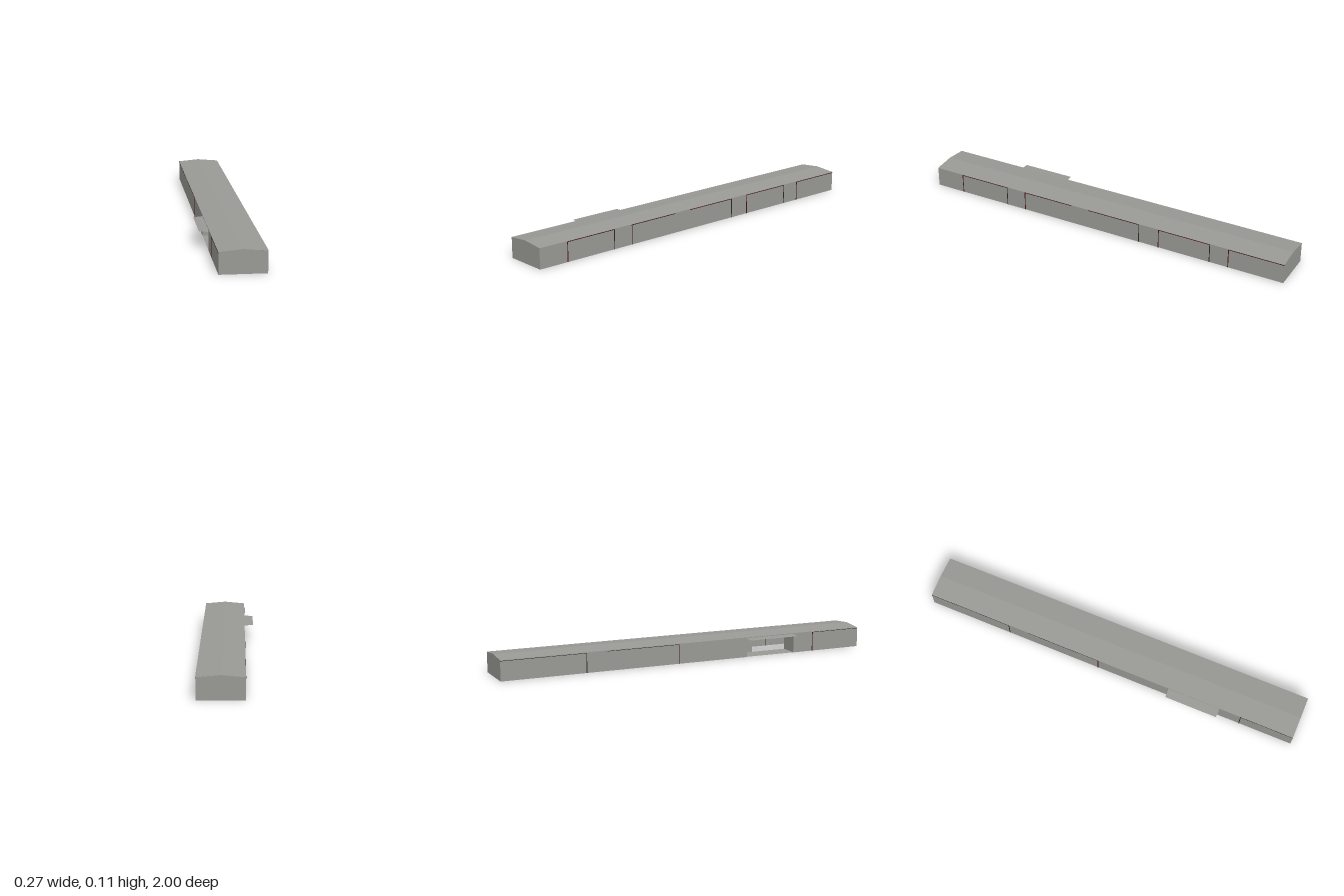
import * as THREE from 'three';

const L = -0.09, R = 0.132, EAVE = 0.104, RIDGE = 0.114, MID = 0.02;
const DOOR0 = 0.33, DOOR1 = 0.605, HEAD = 0.092, BACK = 0.01;

export function createModel() {
  const model = new THREE.Group();
  model.name = 'longBuilding';
  const mat = (name, color) => {
    const m = new THREE.MeshStandardMaterial({ color, side: THREE.DoubleSide });
    m.name = name;
    return m;
  };
  const grey = mat('concreteGrey', 0x999995);
  const red = mat('darkRedTrim', 0x4a1414);
  const dark = mat('darkJoint', 0x2a2a2a);

  const add = (name, geo, material) => {
    const mesh = new THREE.Mesh(geo, material);
    mesh.name = name;
    model.add(mesh);
    return mesh;
  };
  // Flat panel through four corners, counter-clockwise from its front
  const quad = (name, a, b, c, d, material = grey) => {
    const g = new THREE.BufferGeometry();
    g.setAttribute('position', new THREE.Float32BufferAttribute([a, b, c, a, c, d].flat(), 3));
    g.computeVertexNormals();
    return add(name, g, material);
  };
  // Upright panels facing +x or -x, and facing +z or -z
  const sideWall = (name, x, z0, z1, y0, y1, s) => s > 0
    ? quad(name, [x, y0, z1], [x, y0, z0], [x, y1, z0], [x, y1, z1])
    : quad(name, [x, y0, z0], [x, y0, z1], [x, y1, z1], [x, y1, z0]);
  const crossWall = (name, z, x0, x1, y0, y1, s) => s > 0
    ? quad(name, [x0, y0, z], [x1, y0, z], [x1, y1, z], [x0, y1, z])
    : quad(name, [x1, y0, z], [x0, y0, z], [x0, y1, z], [x1, y1, z]);

  // Long walls, the right one open at the entrance
  sideWall('leftWall', R, -1, 1, 0, EAVE, 1);
  sideWall('rightWallBack', L, -1, DOOR0, 0, EAVE, -1);
  sideWall('rightWallFront', L, DOOR1, 1, 0, EAVE, -1);
  sideWall('entranceHeader', L, DOOR0, DOOR1, HEAD, EAVE, -1);

  // Gabled end walls
  const gable = new THREE.Shape([[L, 0], [R, 0], [R, EAVE], [MID, RIDGE], [L, EAVE]]
    .map(([x, y]) => new THREE.Vector2(x, y)));
  add('frontGable', new THREE.ShapeGeometry(gable), grey).position.z = 1;
  const back = new THREE.ShapeGeometry(gable).scale(-1, 1, 1);
  back.index.array.reverse();
  back.rotateY(Math.PI);
  back.index.array.reverse();
  back.computeVertexNormals();
  // Winding corrected so the rear face looks outward
  const pos = back.attributes.position;
  const idx = back.index.array;
  const [p, q, r] = [0, 1, 2].map(i => new THREE.Vector3().fromBufferAttribute(pos, idx[i]));
  if (q.sub(p).cross(r.sub(p)).z > 0) idx.reverse();
  back.computeVertexNormals();
  add('backGable', back, grey).position.z = -1;

  // Two shallow roof slopes
  quad('roofRight', [L, EAVE, 1], [MID, RIDGE, 1], [MID, RIDGE, -1], [L, EAVE, -1]);
  quad('roofLeft', [MID, RIDGE, 1], [R + 0.002, EAVE, 1], [R + 0.002, EAVE, -1], [MID, RIDGE, -1]);

  // Entrance recess: floor, side walls and a partial back wall
  quad('recessFloor', [L, 0.001, DOOR1], [BACK, 0.001, DOOR1], [BACK, 0.001, DOOR0], [L, 0.001, DOOR0]);
  crossWall('recessSideBack', DOOR0, L, BACK, 0, EAVE, 1);
  crossWall('recessSideFront', DOOR1, L, BACK, 0, EAVE, -1);
  sideWall('recessBackWall', BACK, DOOR0, 0.41, 0, EAVE, -1);

  // Canopy made of two thin plates meeting at the outer edge
  const tip = -0.136, ty = 0.096;
  quad('canopyTop', [tip, ty, DOOR1], [L, 0.1, DOOR1], [L, 0.1, DOOR0], [tip, ty, DOOR0]);
  quad('canopyUnderside', [tip, ty, DOOR0], [L, HEAD, DOOR0], [L, HEAD, DOOR1], [tip, ty, DOOR1]);

  // Panel joints on the long walls
  const strip = (name, x, y, z, h, d, m) =>
    add(name, new THREE.BoxGeometry(0.001, h, d), m).position.set(x, y, z);
  const joints = (name, x, zs) => zs.forEach((z, i) =>
    strip(name, x, 0.05, z, 0.1, 0.004, i % 2 ? dark : red));
  joints('leftJoint', R + 0.0005, [0.84, 0.56, 0.45, -0.22, -0.33, -0.61, -0.71]);
  joints('rightJoint', L - 0.0005, [-0.06, -0.56, 0.72]);

  // Thin trim above the wall panels
  for (const [a, b] of [[0.56, 0.84], [0.17, 0.45], [-0.22, 0.07], [-0.61, -0.33], [-1, -0.71]])
    strip('leftTrim', R + 0.0005, 0.1, (a + b) / 2, 0.003, b - a, red);
  for (const [a, b] of [[-1, -0.56], [-0.45, -0.06], [0.72, 1]])
    strip('rightTrim', L - 0.0005, 0.1, (a + b) / 2, 0.002, b - a, dark);

  return model;
}
